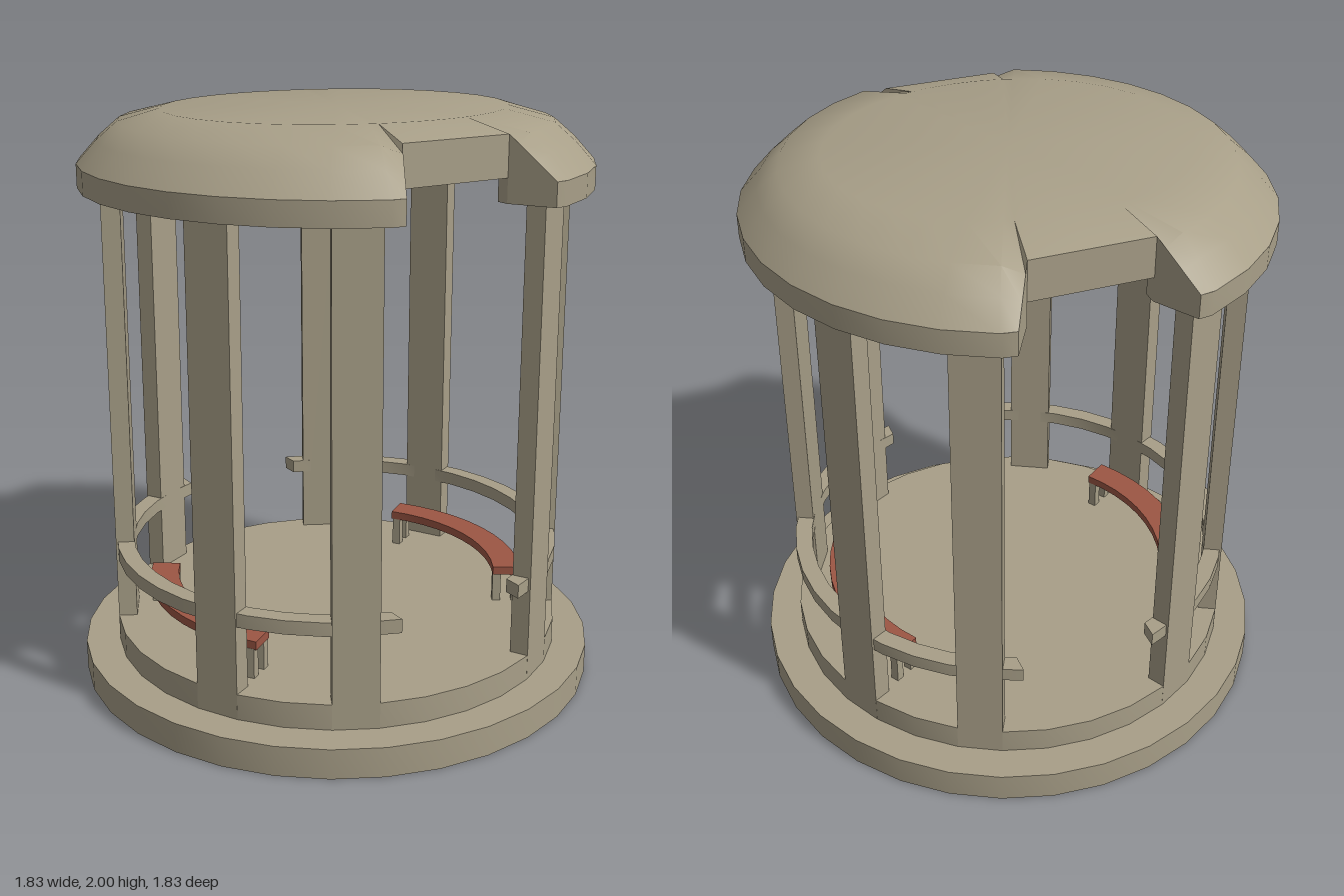
import * as THREE from 'three';
import { toCreasedNormals } from 'three/addons/utils/BufferGeometryUtils.js';

const stone = new THREE.MeshStandardMaterial({ color: 0xa89f88 });
const wood = new THREE.MeshStandardMaterial({ color: 0x9c5644 });
const deg = Math.PI / 180;

// Roof radius, and the notch plan: back wall corner and rim corner
const roofR = 0.868, rimY = 1.825;
const notchIn = new THREE.Vector3(0.2, 1.96, 0.67);
const notchOut = new THREE.Vector3(0.28, rimY, 0.81);

function add(parent, name, geometry, material = stone) {
  const mesh = new THREE.Mesh(geometry, material);
  mesh.name = name;
  parent.add(mesh);
  return mesh;
}

// Points on a circle, angles in degrees measured from +x
function arc(r, a0, a1, n) {
  return Array.from({ length: n + 1 }, (_, i) => {
    const a = (a0 + ((a1 - a0) * i) / n) * deg;
    return new THREE.Vector2(r * Math.cos(a), r * Math.sin(a));
  });
}

// Flat outline raised from y0 to y1
function slab(points, y0, y1, hole) {
  const shape = new THREE.Shape(points);
  if (hole) shape.holes.push(new THREE.Path(hole));
  const g = new THREE.ExtrudeGeometry(shape, { depth: y1 - y0, bevelEnabled: false });
  g.rotateX(-Math.PI / 2).translate(0, y0, 0);
  return toCreasedNormals(g, 0.5);
}

// Curved bar whose inner and outer edges end at their own half angles
const bar = (ri, ro, halfIn, halfOut, n, y0, y1) =>
  slab([...arc(ro, -halfOut, halfOut, n), ...arc(ri, halfIn, -halfIn, n)], y0, y1);

// Domed roof cap with a tapered, straight-walled notch at front and back
function domeGeometry() {
  const corner = Math.atan2(notchOut.x, notchOut.z);
  const back = Math.atan2(notchIn.x, notchIn.z);
  const quarter = [back / 2, back, corner];
  for (let i = 2; i < 8; i++) quarter.push((i * Math.PI) / 16);
  const half = [0, ...quarter, Math.PI / 2, ...quarter.map((a) => Math.PI - a).reverse()];
  const angles = [...half, ...half.map((a) => a + Math.PI)];
  const radii = [0, 0.6, 0.73, 0.8, roofR];
  const heights = [2, 2, 1.96, 1.9, rimY];
  const wallSteps = [0, 0, 0.2, 0.6, 1];

  // Rows run from the top centre out to the rim, then back under to the centre
  const point = (a, row) => {
    const sin = Math.sin(a), cos = Math.cos(a);
    if (row === 0 || row === 6) return new THREE.Vector3(0, row ? rimY : 2, 0);
    if (row === 1) {
      const flat = 0.6 - 0.07 * cos * cos;
      return new THREE.Vector3(flat * sin, 2, flat * cos);
    }
    const off = Math.atan2(Math.abs(sin), Math.abs(cos));
    if (Math.abs(off - corner) < 1e-4) {
      const p = notchIn.clone().lerp(notchOut, wallSteps[Math.min(row, 4)]);
      return p.multiply(new THREE.Vector3(Math.sign(sin), 1, Math.sign(cos)));
    }
    if (off < corner) {
      const r = notchIn.z / Math.abs(cos);
      return new THREE.Vector3(r * sin, row === 5 ? rimY : notchIn.y, r * cos);
    }
    const k = Math.min(row, 4);
    return new THREE.Vector3(radii[k] * sin, heights[k], radii[k] * cos);
  };

  const pos = [];
  const tri = (a, b, c) => {
    const area = b.clone().sub(a).cross(c.clone().sub(a)).length();
    if (area > 1e-7) for (const p of [a, b, c]) pos.push(p.x, p.y, p.z);
  };
  angles.forEach((a0, i) => {
    const a1 = angles[(i + 1) % angles.length];
    for (let row = 0; row < 6; row++) {
      const a = point(a0, row), b = point(a0, row + 1);
      const c = point(a1, row + 1), d = point(a1, row);
      tri(a, b, c);
      tri(a, c, d);
    }
  });
  const g = new THREE.BufferGeometry();
  g.setAttribute('position', new THREE.Float32BufferAttribute(pos, 3));
  return toCreasedNormals(g, 0.6);
}

export function createModel() {
  const model = new THREE.Group();
  model.name = 'pavilion';

  // Base step and raised floor
  add(model, 'baseRing', slab(arc(0.915, 0, 348.75, 31), 0, 0.105, arc(0.785, 0, 348.75, 31)));
  add(model, 'floor', slab(arc(0.795, 0, 348.75, 31), 0.1, 0.195));

  // Eight columns in four pairs, reaching a little below the floor
  const columns = new THREE.Group();
  columns.name = 'columns';
  model.add(columns);
  for (let q = 0; q < 4; q++) {
    for (const offset of [28, 62]) {
      const a = (q * 90 + offset) * deg;
      const column = add(columns, 'column', new THREE.BoxGeometry(0.155, 1.765, 0.065));
      column.position.set(0.759 * Math.sin(a), 0.9475, 0.759 * Math.cos(a));
      column.rotation.y = a;
    }
  }

  // Handrail, bench and roof edge on each side
  for (const [name, turn] of [['left', 0], ['right', Math.PI]]) {
    const side = new THREE.Group();
    side.name = name + 'Side';
    side.rotation.y = turn;
    model.add(side);
    const squareEnd = (r) => Math.acos(0.235 / r) / deg;
    add(side, 'handrail', bar(0.73, 0.79, squareEnd(0.73), squareEnd(0.79), 16, 0.432, 0.48));
    add(side, 'benchSeat', bar(0.575, 0.675, 34.5, 34.5, 10, 0.3, 0.33), wood);
    for (const s of [-1, 1]) {
      for (const r of [0.59, 0.66]) {
        const a = s * 32.5 * deg;
        const leg = add(side, 'benchLeg', new THREE.BoxGeometry(0.03, 0.11, 0.03));
        leg.position.set(r * Math.cos(a), 0.247, r * Math.sin(a));
        leg.rotation.y = -a;
      }
    }
    const outer = Math.atan2(notchOut.z, notchOut.x) / deg - 3;
    const inner = Math.acos(notchIn.x / 0.655) / deg;
    add(side, 'roofEdge', slab([
      new THREE.Vector2(notchOut.x, -notchOut.z),
      ...arc(roofR, -outer, outer, 12),
      new THREE.Vector2(notchOut.x, notchOut.z),
      new THREE.Vector2(notchIn.x, notchIn.z),
      ...arc(0.655, inner, -inner, 14),
      new THREE.Vector2(notchIn.x, -notchIn.z),
    ], 1.745, rimY));
  }

  add(model, 'roofDome', domeGeometry());
  return model;
}
